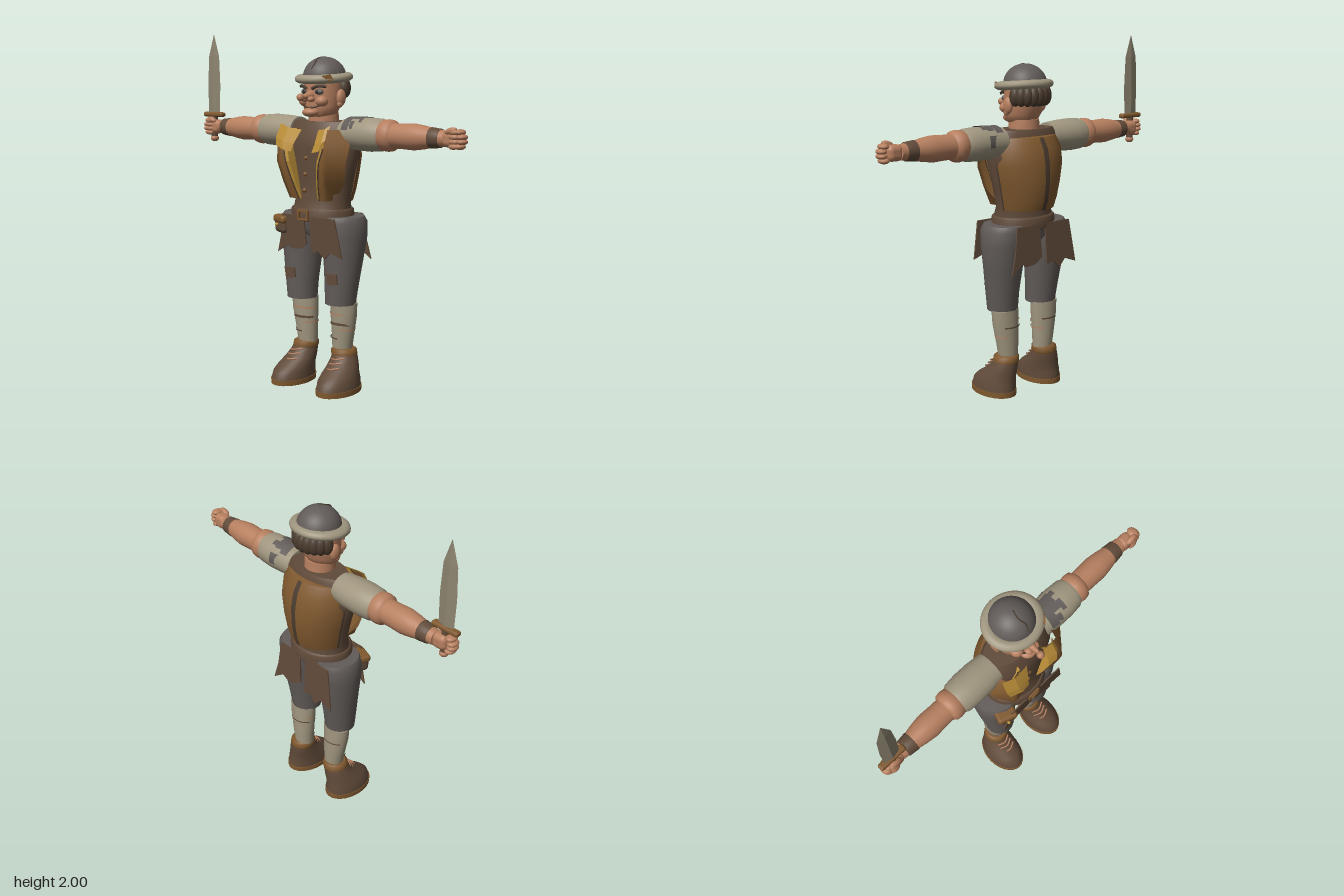
import * as THREE from 'three';
import { RoundedBoxGeometry } from 'three/addons/geometries/RoundedBoxGeometry.js';

const mat = (name, color, flatShading = false) =>
  new THREE.MeshStandardMaterial({ name, color, flatShading, side: THREE.DoubleSide });

export function createModel() {
  const root = new THREE.Group();
  const skin = mat('skin', 0xb67f5f), cloth = mat('linen', 0xa0967f), leather = mat('dark leather', 0x614b3a);
  const tan = mat('tan leather', 0x80592f), gold = mat('gold', 0xb88d38, true), iron = mat('iron grey', 0x625c59);
  const steel = mat('blade steel', 0x8e8570, true), dark = mat('dark brown', 0x4b3c2f), eyeMat = mat('eye', 0x332e2c);

  const add = (parent, name, geo, material, x = 0, y = 0, z = 0) => {
    const m = new THREE.Mesh(geo, material);
    m.name = name;
    m.position.set(x, y, z);
    parent.add(m);
    return m;
  };

  // Surface from rows of points
  function sheet(rows) {
    const pos = rows.flat(2), idx = [], n = rows[0].length;
    for (let i = 0; i < rows.length - 1; i++)
      for (let j = 0; j < n - 1; j++) {
        const a = i * n + j;
        idx.push(a, a + 1, a + n + 1, a, a + n + 1, a + n);
      }
    const g = new THREE.BufferGeometry();
    g.setAttribute('position', new THREE.Float32BufferAttribute(pos, 3));
    g.setIndex(idx);
    g.computeVertexNormals();
    return g;
  }

  // Elliptic rings [y, cx, cz, rx, rz], bottom to top; angle 0 faces +z
  function arc(rings, a0, a1, n = 16) {
    return sheet(rings.map(([y, cx, cz, rx, rz]) => Array.from({ length: n + 1 }, (_, j) => {
      const a = (a0 + (a1 - a0) * j / n) * Math.PI / 180;
      return [cx + rx * Math.sin(a), y, cz + rz * Math.cos(a)];
    })));
  }
  // Full loft: ends repeat their ring so that caps stay sharp
  function loft(rings, n = 28) {
    const cap = r => [r[0], r[1], r[2], 0, 0];
    const g = arc(rings, 0, 360, n), nor = g.attributes.normal;
    for (let i = 0; i < rings.length; i++) {
      const a = i * (n + 1), b = a + n;
      const v = new THREE.Vector3().fromBufferAttribute(nor, a)
        .add(new THREE.Vector3().fromBufferAttribute(nor, b)).normalize();
      nor.setXYZ(a, v.x, v.y, v.z);
      nor.setXYZ(b, v.x, v.y, v.z);
    }
    const first = rings[0], last = rings[rings.length - 1];
    return [g, arc([cap(first), first], 0, 360, n), arc([last, cap(last)], 0, 360, n)];
  }
  const addLoft = (parent, name, rings, material, n) => {
    const g = new THREE.Group();
    g.name = name;
    loft(rings, n).forEach((geo, i) => add(g, name + ['Side', 'Bottom', 'Top'][i], geo, material));
    parent.add(g);
    return g;
  };
  const ball = (parent, name, material, x, y, z, rx, ry = rx, rz = rx) => {
    const m = add(parent, name, new THREE.SphereGeometry(1, 18, 12), material, x, y, z);
    m.scale.set(rx, ry, rz);
    return m;
  };
  const plate = (pts, depth = 0.008) => new THREE.ExtrudeGeometry(
    new THREE.Shape(pts.map(p => new THREE.Vector2(...p))), { depth, bevelEnabled: false });
  const tube = (pts, r) => new THREE.TubeGeometry(
    new THREE.CatmullRomCurve3(pts.map(p => new THREE.Vector3(...p))), 12, r, 6);

  // Torso, hips and belt
  addLoft(root, 'jerkin', [[1, 0, 0, .18, .145], [1.08, 0, -.01, .172, .125], [1.2, 0, -.01, .2, .13],
    [1.36, 0, -.01, .245, .135], [1.43, 0, -.01, .235, .13], [1.49, 0, -.015, .205, .11], [1.51, 0, -.015, .19, .1]], leather, 36);
  addLoft(root, 'hips', [[.87, 0, -.01, .1, .09], [.92, 0, -.01, .17, .12], [1, 0, -.01, .18, .13]], iron);
  addLoft(root, 'belt', [[.96, 0, -.005, .185, .15], [.967, 0, -.005, .195, .158], [1.02, 0, -.005, .19, .155], [1.03, 0, -.005, .18, .145]], leather, 36);
  for (const [w, h, x, y] of [[.075, .01, 0, .024], [.075, .01, 0, -.024], [.01, .05, .033, 0], [.01, .05, -.033, 0]])
    add(root, 'buckle', new THREE.BoxGeometry(w, h, .012), tan, x - .005, .997 + y, .156);
  [1.31, 1.22, 1.13].forEach((y, i) => ball(root, 'button', tan, -.012 - i * .007, y, .118, .013));

  // Bowed back shell with a dark spine and rim
  const shell = [[1.07, 0, 0, .175, .175], [1.13, 0, 0, .19, .195], [1.22, 0, 0, .21, .208], [1.32, 0, 0, .232, .208], [1.41, 0, 0, .228, .19], [1.47, 0, 0, .2, .155]];
  const grow = (rings, d) => rings.map(([y, x, z, a, b]) => [y, x, z, a + d, b + d]);
  add(root, 'backShell', arc(shell, 103, 257, 24), tan);
  add(root, 'backSpine', arc(grow(shell, .004), 176, 184, 2), dark);
  for (const a of [103, 254]) add(root, 'backShellRim', arc(grow(shell, .003), a, a + 3, 2), dark);
  const [lo, hi] = [shell[0], shell[5]];
  add(root, 'backShellBottom', arc([[1.07, 0, 0, .15, .11], lo], 103, 257, 24), tan);
  add(root, 'backShellTop', arc([hi, [1.48, 0, 0, .17, .1]], 103, 257, 24), tan);

  // Chest plates: rows of outer, ridge and inner edge, then the gilded return
  const rows = [[1.08, .13, .11, .055, .12], [1.18, .215, .13, .075, .155], [1.29, .243, .152, .1, .18], [1.39, .262, .155, .125, .168], [1.47, .2, .145, .08, .13]];
  for (const s of [-1, 1]) {
    const col = (f, d = 0) => rows.map(([y, o, m, i, z]) => f(o, m, i, z + d).map(([x, zz]) => [s * x, y, zz]));
    add(root, 'chestPlate', sheet(col((o, m, i, z) => [[o, z - .09], [m + .03, z - .005], [m, z], [i + .02, z - .01]])), tan);
    add(root, 'chestPlateEdge', sheet(col((o, m, i, z) => [[i + .02, z - .01], [i, z - .015], [i, z - .07]])), gold);
    add(root, 'chestPlateSeam', tube(rows.map(([y, o, m, i, z]) => [s * (i + .02), y, z - .01]), .004), dark);
    const w = s < 0 ? .07 : .02;
    add(root, 'goldPatch', sheet([[1.355, .13, .186], [1.4, .14, .172], [1.475, .135, .134]].map(([y, m, z], k) =>
      [[s * (m + w), y + .02, z - .022], [s * m, y, z], [s * (m - .055 - (s < 0 ? .02 * k : 0)), y - .01, z - .008]])), gold);
  }

  // Ragged skirt flaps, front and back, and belt pouch
  const flapA = [[-.17, .99], [-.01, .99], [0, .83], [-.05, .8], [-.11, .795], [-.145, .81], [-.22, .765], [-.19, .86]];
  const flapB = [[.03, .99], [.21, .99], [.25, .775], [.17, .8], [.125, .76], [.085, .8], [.035, .785]];
  [[flapA, .14, 0, 1], [flapB, .14, 0, 1], [flapA, -.15, 1, 1.15], [flapB, -.15, 1, 1.15]].forEach(([pts, z, back, k]) => {
    const m = add(root, back ? 'backFlap' : 'frontFlap', plate(pts.map(([x, y]) => [x, (y - .99) * k])), leather, 0, .99, z);
    m.rotation.set(back ? .06 : .08, back ? Math.PI : 0, 0);
  });
  add(root, 'pouch', new RoundedBoxGeometry(.11, .1, .07, 3, .025), leather, -.19, .925, .115).rotation.y = -.35;
  add(root, 'pouchFlap', new RoundedBoxGeometry(.12, .045, .08, 3, .018), tan, -.19, .955, .117).rotation.y = -.35;
  ball(root, 'pouchStud', gold, -.205, .925, .155, .01);

  // Legs
  for (const s of [-1, 1]) {
    const leg = new THREE.Group();
    leg.name = s > 0 ? 'leftLeg' : 'rightLeg';
    root.add(leg);
    const L = r => r.map(([y, x, ...rest]) => [y, s * x, ...rest]);
    addLoft(leg, 'trouserLeg', L([[.495, .142, .008, .087, .087], [.6, .147, .003, .095, .096], [.75, .15, -.008, .112, .112],
      [.88, .155, -.015, .122, .13], [.96, .152, -.015, .122, .135], [.99, .145, -.015, .11, .125]]), iron);
    const sock = L([[.2, .128, -.025, .056, .052], [.3, .135, -.025, .066, .058], [.42, .143, -.02, .082, .062], [.5, .145, -.018, .085, .063]]);
    addLoft(leg, 'sock', sock, cloth);
    const wrap = (name, y, h, a, b, m) => {
      const t = (y - .2) / .3, cx = s * (.128 + .017 * t);
      const ring = v => [v, cx, -.022, .062 + .027 * t, .058 + .01 * t];
      add(leg, name, arc([ring(y), ring(y + h)], a, b, 18), m);
    };
    wrap('sockStripe', .43, .008, -120, 90, skin);
    wrap('sockStripe', .345, .006, 20, 150, skin);
    wrap('sockTear', .372, .014, -50, 70, leather);
    wrap('sockTear', .29, .008, -80, 10, leather);
    wrap('sockTear', .4, .008, 140, 250, leather);
    const knee = plate([[-.04, .03], [.035, .033], [.042, -.022], [.01, -.032], [-.03, -.028]]);
    add(leg, 'kneePatch', knee, leather, s * .155, .645, .096);

    // Boot with sole, collar and laces
    addLoft(leg, 'sole', L([[0, .17, .055, .105, .157], [.03, .17, .055, .106, .158]]), tan);
    addLoft(leg, 'boot', L([[.03, .17, .055, .102, .154], [.07, .168, .05, .1, .146], [.1, .164, .035, .093, .128], [.14, .157, .002, .085, .098],
      [.18, .15, -.02, .075, .078], [.21, .145, -.025, .068, .07]]), leather);
    addLoft(leg, 'bootCollar', L([[.19, .145, -.025, .069, .071], [.2, .145, -.025, .074, .075], [.225, .142, -.025, .072, .073], [.234, .14, -.025, .06, .062]]), tan);
    [[.135, .108], [.16, .083], [.182, .062]].forEach(([y, z]) =>
      add(leg, 'lace', tube([[s * .155 - .045, y - .008, z - .016], [s * .155, y, z + .003], [s * .155 + .045, y + .01, z - .016]], .005), skin));
  }

  // Arms, built along y and turned sideways
  for (const s of [-1, 1]) {
    const arm = new THREE.Group();
    arm.name = s > 0 ? 'leftArm' : 'rightArm';
    arm.position.set(0, 1.447, -.008);
    arm.rotation.z = -s * Math.PI / 2;
    root.add(arm);
    const R = list => list.map(([y, r, k = 1]) => [y, 0, 0, r, r * k]);
    const sleeve = R([[.17, .08, 1.1], [.25, .088, 1.1], [.34, .092, 1.07], [.41, .088, 1.05], [.44, .075]]);
    addLoft(arm, 'sleeve', sleeve, cloth);
    addLoft(arm, 'rolledCuff', R([[.42, .07], [.43, .082], [.46, .086], [.485, .082], [.5, .065]]), skin);
    addLoft(arm, 'forearm', R([[.46, .066], [.55, .067], [.62, .07], [.68, .062], [.74, .05], [.82, .04]]), skin);
    addLoft(arm, 'wristCuff', R([[.725, .048], [.73, .055], [.785, .049], [.79, .042]]), leather);
    if (s > 0) for (const [y0, y1, a, b] of [[.2, .25, -140, -15], [.25, .3, -130, -60], [.25, .28, -50, -20], [.3, .325, -85, -45], [.25, .31, -190, -150], [.28, .33, -125, -105]])
      add(arm, 'sleeveStain', arc([[y0, 0, 0, .08 + y0 * .034 + .005, .094], [y1, 0, 0, .08 + y1 * .034 + .005, .101]], a, b, 10), iron);
    // Fist
    const p = add(arm, 'palm', new RoundedBoxGeometry(.085, .09, .075, 4, .03), skin, 0, .85, .005);
    p.scale.set(1, 1, 1);
    for (let i = 0; i < 4; i++) {
      const x = -.036 + i * .024;
      const reach = .905 + (i === 1 || i === 2 ? .012 : 0);
      ball(arm, 'knuckle', skin, x, reach, .01, .016, .027, .035);
      ball(arm, 'finger', skin, x, .882, .036, .015, .028, .016);
    }
    ball(arm, 'thumb', skin, -s * .042, .865, .034, .017, .036, .018).rotation.z = s * .3;
  }

  // Short sword held upright
  const sword = new THREE.Group();
  sword.name = 'sword';
  sword.position.set(-.865, 0, .004);
  root.add(sword);
  addLoft(sword, 'blade', [[1.52, 0, 0, .048, .011], [1.7, .002, 0, .053, .011], [1.87, .004, 0, .044, .009], [2, .006, 0, .001, .001]], steel, 4);
  add(sword, 'guard', new RoundedBoxGeometry(.165, .028, .04, 3, .012), tan, 0, 1.52, 0);
  add(sword, 'grip', new THREE.CylinderGeometry(.02, .02, .14, 12), leather, 0, 1.445, 0);
  ball(sword, 'pommel', skin, 0, 1.375, 0, .025, .02, .025);

  // Head and face
  const head = new THREE.Group();
  head.name = 'head';
  root.add(head);
  addLoft(head, 'neck', [[1.48, 0, -.015, .088, .085], [1.56, 0, -.012, .085, .082]], skin);
  addLoft(head, 'skull', [[1.535, 0, .015, .06, .06], [1.55, 0, .01, .09, .085], [1.59, 0, 0, .106, .1], [1.66, 0, -.01, .11, .11], [1.76, 0, -.015, .108, .112]], skin);
  ball(head, 'chin', skin, 0, 1.56, .095, .05, .026, .045);
  const nose = add(head, 'nose', new THREE.ConeGeometry(.034, .13, 14), skin, 0, 1.648, .135);
  nose.rotation.x = Math.PI / 2 + .12;
  ball(head, 'noseTip', skin, 0, 1.643, .18, .021);
  add(head, 'mouth', tube([[-.055, 1.598, .087], [-.03, 1.588, .104], [0, 1.585, .112], [.03, 1.588, .104], [.055, 1.598, .087]], .005), dark);
  for (const s of [-1, 1]) {
    ball(head, 'cheek', skin, s * .06, 1.62, .072, .036, .03, .036);
    ball(head, 'nostril', skin, s * .024, 1.632, .118, .018, .016, .024);
    ball(head, 'eyeWhite', iron, s * .048, 1.672, .082, .03, .017, .018);
    ball(head, 'pupil', eyeMat, s * .046, 1.672, .096, .011, .011, .007);
    add(head, 'eyebrow', tube([[s * .02, 1.688, .11], [s * .055, 1.703, .1], [s * .092, 1.7, .072]], .009), dark);
    ball(head, 'ear', skin, s * .12, 1.64, -.02, .022, .046, .032);
    ball(head, 'earLobe', skin, s * .12, 1.605, -.01, .015, .02, .018);
  }
  // Curls round the back
  for (let i = 0; i < 9; i++) {
    const a = (112 + i * 17) * Math.PI / 180;
    ball(head, 'curl', dark, .113 * Math.sin(a), 1.69, -.02 + .115 * Math.cos(a), .033, .055, .033);
  }

  // Helmet with rolled brim
  const brim = add(head, 'helmetBrim', new THREE.TorusGeometry(.122, .033, 12, 40), cloth, 0, 1.747, -.015);
  brim.rotation.x = Math.PI / 2 + .08;
  brim.scale.set(1.08, 1, .75);
  const dome = add(head, 'helmetDome', new THREE.SphereGeometry(1, 32, 14, 0, Math.PI * 2, 0, Math.PI / 2), iron, 0, 1.75, -.022);
  dome.scale.set(.12, .112, .122);
  add(head, 'helmetCrack', tube([[.005, 1.861, -.02], [-.005, 1.853, .03], [.008, 1.83, .066], [0, 1.795, .09]], .0035), dark);
  add(head, 'brimTear', plate([[-.03, .012], [.02, .02], [.035, -.005], [.015, -.02]]), tan, .11, 1.745, .09).rotation.y = .8;
  return root;
}
